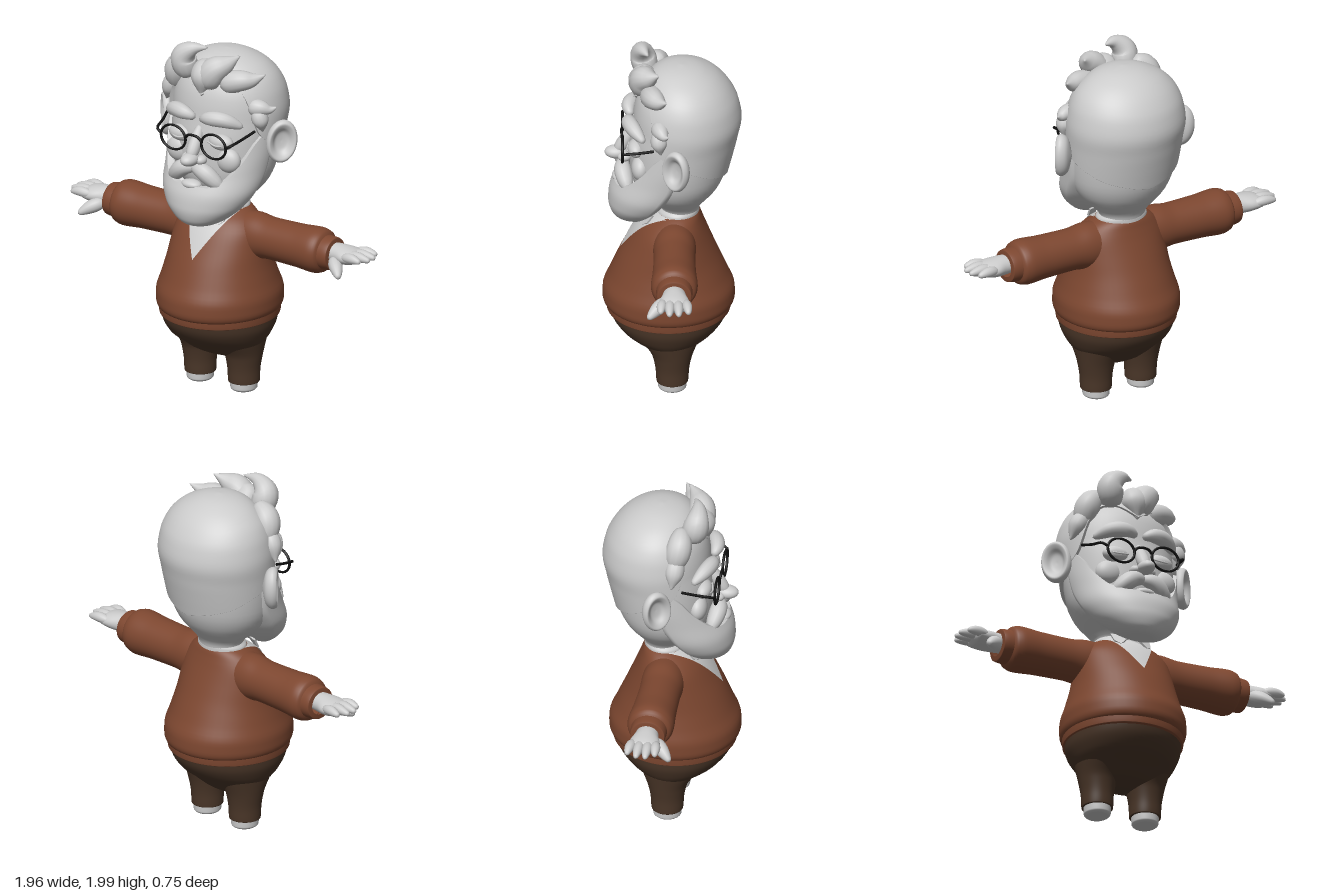
import * as THREE from 'three';
import { mergeVertices } from 'three/addons/utils/BufferGeometryUtils.js';

const material = (color) => new THREE.MeshStandardMaterial({ color, side: THREE.DoubleSide });
const grey = material(0xcccccc), wool = material(0x7d4730), cloth = material(0x4a3628), black = material(0x111111);

function smooth(geo) {
  geo.deleteAttribute('uv');
  geo.deleteAttribute('normal');
  const g = mergeVertices(geo, 1e-5);
  g.computeVertexNormals();
  return g;
}

// Monotone cubic lookup: rows are [key, ...values] with rising keys
function sampler(rows) {
  const secant = (i, c) => (rows[i + 1][c] - rows[i][c]) / (rows[i + 1][0] - rows[i][0]);
  const slope = (i, c) => {
    if (i === 0) return secant(0, c);
    if (i === rows.length - 1) return secant(i - 1, c);
    const a = secant(i - 1, c), b = secant(i, c);
    return a * b <= 0 ? 0 : (2 * a * b) / (a + b);
  };
  return (key) => {
    const k = THREE.MathUtils.clamp(key, rows[0][0], rows[rows.length - 1][0]);
    let i = 0;
    while (i < rows.length - 2 && k > rows[i + 1][0]) i++;
    const h = rows[i + 1][0] - rows[i][0], t = (k - rows[i][0]) / h, t2 = t * t, t3 = t2 * t;
    return rows[i].slice(1).map((v, n) => {
      const c = n + 1;
      return (2 * t3 - 3 * t2 + 1) * v + (t3 - 2 * t2 + t) * h * slope(i, c)
        + (3 * t2 - 2 * t3) * rows[i + 1][c] + (t3 - t2) * h * slope(i + 1, c);
    });
  };
}

// Stacked ellipses, rows [y, centreZ, radiusX, radiusZ]; the ends may vary round the body
function loft(rows, { lo, hi, back = 1, steps = 36, sides = 56 } = {}) {
  const at = sampler(rows), pos = [], idx = [];
  for (let j = -1; j <= steps + 1; j++) {
    for (let i = 0; i <= sides; i++) {
      const a = (i % sides) / sides * Math.PI * 2;
      const deg = Math.abs(i / sides * 360 > 180 ? 360 - i / sides * 360 : i / sides * 360);
      const y0 = lo ? lo(deg)[0] : rows[0][0], y1 = hi ? hi(deg)[0] : rows[rows.length - 1][0];
      const t = THREE.MathUtils.clamp(j / steps, 0, 1);
      const y = y0 + (y1 - y0) * (1 - Math.cos(t * Math.PI)) / 2;
      const [cz, rx, rz] = at(y);
      const tuck = (lo && j < 0) || (hi && j > steps) ? 0.88 : 1; // free edges turn inward
      const c = Math.cos(a);
      pos.push(Math.sin(a) * rx * tuck, y, cz + c * rz * tuck * (c < 0 ? back : 1));
    }
  }
  const w = sides + 1;
  for (let j = 0; j < steps + 2; j++) for (let i = 0; i < sides; i++) {
    const p = j * w + i;
    idx.push(p, p + 1, p + w, p + 1, p + w + 1, p + w);
  }
  const g = new THREE.BufferGeometry();
  g.setAttribute('position', new THREE.Float32BufferAttribute(pos, 3));
  g.setIndex(idx);
  return smooth(g);
}

// Rounded, tapering tube through points [x, y, z, radius]
function tuft(points, flat = 0.35) {
  const curve = new THREE.CatmullRomCurve3(points.map((p) => new THREE.Vector3(p[0], p[1], p[2])));
  const radius = sampler(points.map((p, i) => [i / (points.length - 1), p[3]]));
  const n = 24, sides = 14, g = new THREE.TubeGeometry(curve, n, 1, sides), pos = g.attributes.position;
  const v = new THREE.Vector3();
  for (let k = 0; k < pos.count; k++) {
    const t = Math.floor(k / (sides + 1)) / n, centre = curve.getPointAt(t);
    const r = radius(t)[0] * Math.pow(Math.max(0, Math.sin(Math.PI * t)), flat);
    v.fromBufferAttribute(pos, k).sub(centre).multiplyScalar(r).add(centre);
    pos.setXYZ(k, v.x, v.y, v.z);
  }
  return smooth(g);
}

const blob = (x, y, z, rx, ry, rz) => new THREE.SphereGeometry(1, 28, 20).scale(rx, ry, rz).translate(x, y, z);
const wire = (r, ...pts) => new THREE.TubeGeometry(
  new THREE.CatmullRomCurve3(pts.map((p) => new THREE.Vector3(...p))), 12, r, 8);
const sideways = (rows) => loft(rows).rotateZ(-Math.PI / 2).translate(0, 0.9, -0.012);

function mirrored(geo) {
  const g = geo.clone().scale(-1, 1, 1), index = g.index.array;
  for (let i = 0; i < index.length; i += 3) [index[i], index[i + 1]] = [index[i + 1], index[i]];
  g.computeVertexNormals();
  return g;
}

export function createModel() {
  const model = new THREE.Group();
  model.name = 'beardedMan';
  const add = (name, geo, mat = grey) => {
    const mesh = new THREE.Mesh(geo, mat);
    mesh.name = name;
    model.add(mesh);
  };
  const pair = (name, geo, mat) => {
    add('left' + name, geo, mat);
    add('right' + name, mirrored(geo), mat);
  };

  // Legs and feet
  add('trouserSeat', loft([[0.18, 0, 0, 0], [0.19, 0, 0.12, 0.06], [0.22, 0.01, 0.2, 0.115], [0.27, 0.015, 0.245, 0.18],
    [0.33, 0.02, 0.285, 0.26], [0.4, 0.02, 0.31, 0.308], [0.46, 0.02, 0.315, 0.325]]), cloth);
  pair('TrouserLeg', loft([[0.05, 0, 0, 0], [0.052, 0, 0.085, 0.085], [0.12, 0, 0.088, 0.09], [0.2, 0, 0.1, 0.105],
    [0.3, 0.01, 0.12, 0.15]]).translate(0.143, 0, 0), cloth);
  pair('Foot', loft([[0, 0, 0, 0], [0.003, 0, 0.058, 0.062], [0.018, 0, 0.072, 0.076], [0.06, 0, 0.074, 0.078]])
    .translate(0.143, 0, 0));

  // Sweater
  const torso = [[0.465, 0.02, 0.315, 0.33], [0.48, 0.02, 0.33, 0.348], [0.51, 0.02, 0.338, 0.356], [0.56, 0.02, 0.338, 0.354],
    [0.65, 0.02, 0.315, 0.318], [0.75, 0.02, 0.29, 0.275], [0.85, 0.015, 0.275, 0.228], [0.93, 0.008, 0.26, 0.188],
    [0.99, -0.005, 0.22, 0.153], [1.03, -0.025, 0.165, 0.12], [1.045, -0.03, 0.135, 0.105]];
  add('sweaterBody', loft(torso), wool);
  add('sweaterHem', loft([[0.43, 0.02, 0.308, 0.318], [0.435, 0.02, 0.322, 0.332], [0.485, 0.02, 0.326, 0.338]]), wool);
  pair('Sleeve', sideways([[0.1, 0, 0.12, 0.11], [0.22, 0, 0.128, 0.115], [0.32, 0, 0.115, 0.112], [0.5, 0, 0.118, 0.118],
    [0.62, 0, 0.126, 0.126], [0.665, 0, 0.115, 0.115], [0.682, 0, 0.09, 0.09]]), wool);
  pair('Cuff', sideways([[0.66, 0, 0.095, 0.098], [0.7, 0, 0.093, 0.097], [0.733, 0, 0.088, 0.092], [0.737, 0, 0.06, 0.065]]), wool);

  // Hands
  pair('Palm', sideways([[0.7, 0, 0.05, 0.055], [0.76, 0, 0.053, 0.065], [0.82, 0, 0.048, 0.082],
    [0.87, 0, 0.036, 0.085], [0.9, 0, 0, 0]]).translate(0, 0.012, 0));
  [[-0.082, 0.955], [-0.034, 0.98], [0.012, 0.98], [0.056, 0.95]].forEach(([z, tip], i) => pair('Finger' + (i + 1),
    tuft([[0.82, 0.917, z * 0.85, 0.03], [0.89, 0.926, z, 0.027], [tip, 0.918, z * 1.1, 0.021]])));
  pair('Thumb', tuft([[0.75, 0.89, 0.03, 0.045], [0.81, 0.86, 0.085, 0.036], [0.855, 0.828, 0.13, 0.024]]));

  // Shirt front follows the chest in a V
  const chest = sampler(torso), bib = new THREE.PlaneGeometry(2, 1, 20, 20), bp = bib.attributes.position;
  for (let i = 0; i < bp.count; i++) {
    const v = bp.getY(i) + 0.5, y = 0.795 + 0.245 * v, x = bp.getX(i) * 0.142 * v, [cz, rx, rz] = chest(y);
    bp.setXYZ(i, x, y, cz + rz * Math.sqrt(Math.max(0, 1 - (x / rx) ** 2)) + 0.007);
  }
  bib.computeVertexNormals();
  add('shirtFront', bib);
  add('shirtCollar', loft([[1.0, -0.025, 0.15, 0.12], [1.045, -0.03, 0.145, 0.115], [1.065, -0.035, 0.132, 0.108]]));
  const flap = new THREE.Shape([[0.02, 0.04], [0.13, 0.05], [0.11, -0.01], [0.075, -0.035]].map((p) => new THREE.Vector2(...p)));
  pair('CollarFlap', mergeVertices(new THREE.ExtrudeGeometry(flap, { depth: 0.01, bevelEnabled: false })
    .rotateX(-0.5).rotateY(0.35).translate(0, 1.0, 0.165)));

  // Head, hair cap and beard
  add('head', loft([[1.02, -0.04, 0.125, 0.1], [1.07, -0.04, 0.135, 0.11], [1.13, -0.03, 0.19, 0.165], [1.2, -0.025, 0.25, 0.225],
    [1.28, -0.03, 0.283, 0.255], [1.4, -0.04, 0.3, 0.27], [1.5, -0.05, 0.307, 0.275], [1.6, -0.07, 0.314, 0.28],
    [1.7, -0.07, 0.3, 0.267], [1.78, -0.065, 0.26, 0.23], [1.85, -0.06, 0.16, 0.15], [1.88, -0.06, 0, 0]]));
  const hairline = sampler([[0, 1.72], [25, 1.785], [38, 1.78], [50, 1.7], [56, 1.6], [64, 1.52], [75, 1.47], [90, 1.43],
    [105, 1.4], [130, 1.345], [180, 1.275]]);
  add('hairCap', loft([[1.25, -0.03, 0.288, 0.26], [1.3, -0.033, 0.305, 0.272], [1.4, -0.045, 0.317, 0.285],
    [1.5, -0.055, 0.326, 0.298], [1.6, -0.07, 0.334, 0.302], [1.7, -0.07, 0.32, 0.284], [1.78, -0.065, 0.288, 0.248],
    [1.85, -0.06, 0.222, 0.188], [1.895, -0.05, 0.135, 0.12], [1.912, -0.05, 0.07, 0.06], [1.918, -0.05, 0, 0]],
  { lo: hairline, sides: 96 }));
  const beardLine = sampler([[0, 1.235], [20, 1.235], [38, 1.27], [52, 1.36], [66, 1.47], [80, 1.52], [100, 1.45], [180, 1.3]]);
  add('beard', loft([[0.988, 0.21, 0, 0], [0.992, 0.21, 0.06, 0.06], [1.01, 0.2, 0.115, 0.11], [1.05, 0.175, 0.175, 0.16],
    [1.11, 0.135, 0.235, 0.21], [1.2, 0.08, 0.282, 0.25], [1.3, 0.025, 0.3, 0.262], [1.4, 0, 0.311, 0.25],
    [1.55, -0.03, 0.316, 0.25]], { hi: beardLine, back: 0.4, sides: 96 }));

  // Swept tufts of hair
  const tufts = {
    frontQuiff: [[-0.12, 1.78, 0.13, 0.09], [-0.14, 1.9, 0.16, 0.075], [-0.08, 1.955, 0.16, 0.045], [0.0, 1.968, 0.13, 0.012]],
    middleQuiff: [[0, 1.76, 0.15, 0.1], [0.06, 1.86, 0.155, 0.08], [0.12, 1.9, 0.12, 0.055], [0.17, 1.94, 0.07, 0.01]],
    sideQuiff: [[0.08, 1.78, 0.12, 0.09], [0.19, 1.81, 0.1, 0.065], [0.25, 1.82, 0.07, 0.045], [0.31, 1.85, 0.03, 0.01]],
    templeTuft: [[0.23, 1.66, 0.07, 0.07], [0.3, 1.665, 0.06, 0.05], [0.345, 1.66, 0.04, 0.03], [0.375, 1.675, 0.02, 0.008]],
    lowTuft: [[0.27, 1.66, 0.07, 0.05], [0.3, 1.6, 0.07, 0.045], [0.31, 1.53, 0.06, 0.01]],
    sweptSide: [[-0.26, 1.66, 0.05, 0.06], [-0.23, 1.8, 0.08, 0.07], [-0.15, 1.87, 0.08, 0.06]],
    rightTemple: [[-0.25, 1.74, 0.07, 0.06], [-0.3, 1.65, 0.06, 0.05], [-0.33, 1.58, 0.05, 0.01]],
    widowsPeak: [[0.0, 1.88, 0.1, 0.09], [0.0, 1.82, 0.16, 0.075], [0.0, 1.71, 0.195, 0.015]],
  };
  for (const [name, points] of Object.entries(tufts)) add(name, tuft(points));

  // Ears
  const bowl = new THREE.SplineCurve([[0, -0.05], [0.075, -0.03], [0.1, 0.005], [0.088, 0.032], [0.066, 0.024], [0.04, 0.002], [0, -0.004]]
    .map((p) => new THREE.Vector2(...p))).getPoints(28).map((p) => new THREE.Vector2(Math.max(0, p.x), p.y));
  pair('Ear', smooth(new THREE.LatheGeometry(bowl, 36)).rotateX(Math.PI / 2).scale(0.85, 1.22, 1)
    .rotateZ(-0.12).rotateY(0.85).translate(0.372, 1.468, -0.025));

  // Face
  pair('Eyelid', blob(0.13, 1.475, 0.195, 0.075, 0.045, 0.045));
  pair('EyeCrease', wire(0.005, [0.07, 1.475, 0.232], [0.13, 1.465, 0.243], [0.19, 1.475, 0.217]));
  pair('Eyebrow', tuft([[0.015, 1.592, 0.225, 0.035], [0.08, 1.612, 0.235, 0.043], [0.16, 1.61, 0.21, 0.04], [0.245, 1.57, 0.15, 0.03]]));
  add('noseBridge', tuft([[0, 1.55, 0.2, 0.03], [0, 1.46, 0.25, 0.035], [0, 1.38, 0.3, 0.045]]));
  add('noseTip', blob(0, 1.38, 0.3, 0.046, 0.036, 0.064));
  pair('Nostril', blob(0.043, 1.373, 0.258, 0.032, 0.026, 0.036));
  pair('Cheek', blob(0.16, 1.37, 0.17, 0.075, 0.07, 0.05));
  pair('Moustache', tuft([[-0.012, 1.325, 0.26, 0.045], [0.06, 1.315, 0.268, 0.048], [0.125, 1.265, 0.25, 0.044], [0.18, 1.215, 0.225, 0.022]]));
  add('lowerLip', blob(0, 1.235, 0.285, 0.06, 0.026, 0.04));

  // Spectacles
  pair('LensRim', new THREE.TorusGeometry(0.08, 0.0075, 8, 40).scale(1, 0.86, 1).translate(0.132, 1.47, 0.268), black);
  add('bridgeWire', wire(0.0075, [-0.055, 1.48, 0.268], [-0.03, 1.505, 0.272], [0.03, 1.505, 0.272], [0.055, 1.48, 0.268]), black);
  pair('TempleWire', wire(0.0075, [0.21, 1.478, 0.268], [0.24, 1.495, 0.262], [0.262, 1.515, 0.18], [0.285, 1.54, 0.1]), black);
  return model;
}
